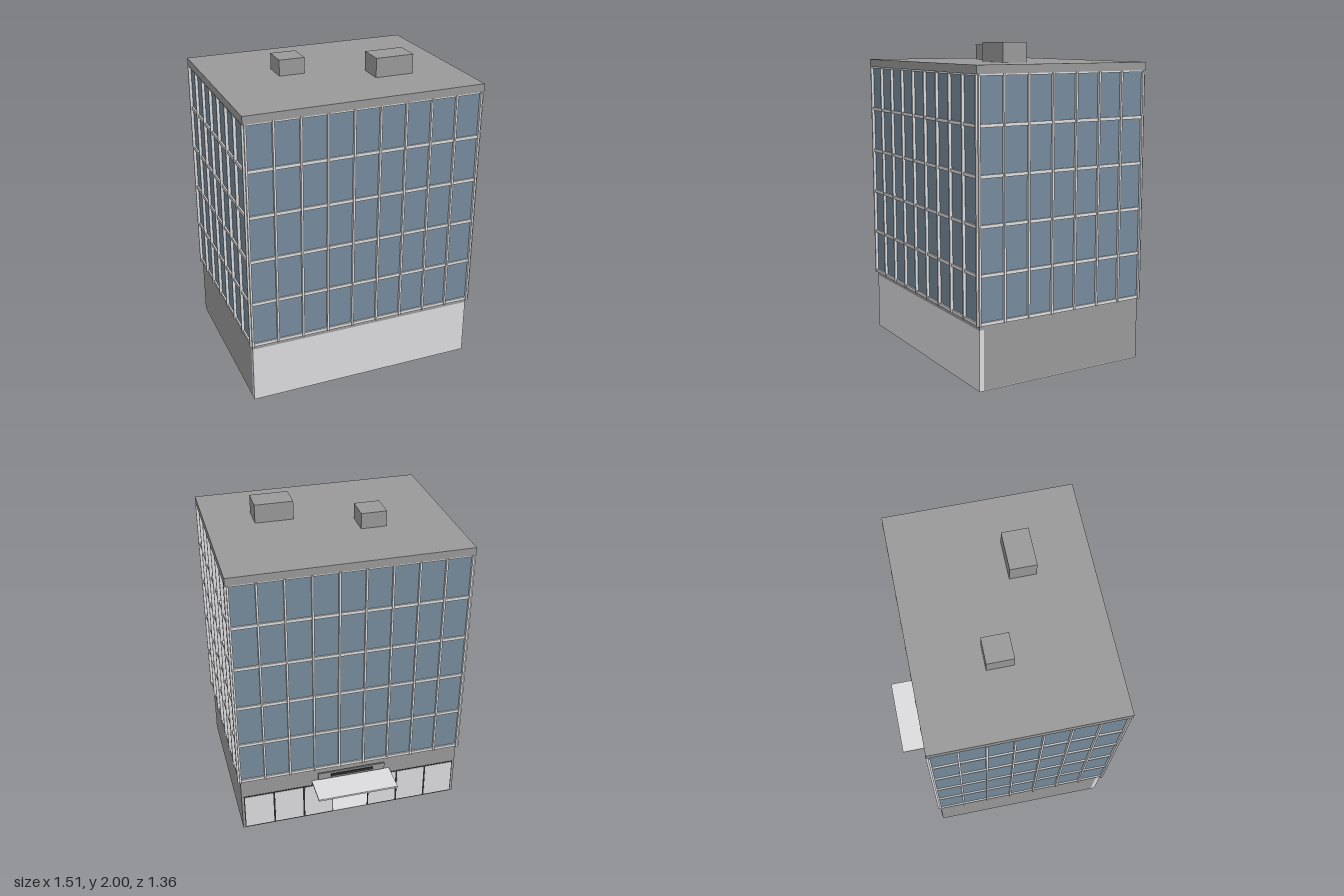
import * as THREE from 'three';

const mat = (name, color) => {
  const m = new THREE.MeshStandardMaterial({ color });
  m.name = name;
  return m;
};

export function createModel() {
  const concrete = mat('concrete grey', 0x99999a);
  const light = mat('light grey', 0xdcdcde);
  const glass = mat('blue glass', 0x768b9c);
  const dark = mat('dark frame', 0x2c2c2e);

  const model = new THREE.Group();
  model.name = 'officeBuilding';
  const group = (name) => {
    const g = new THREE.Group();
    g.name = name;
    model.add(g);
    return g;
  };

  // Box given by its extents on each axis
  const box = (parent, name, material, x0, x1, y0, y1, z0, z1) => {
    const mesh = new THREE.Mesh(new THREE.BoxGeometry(x1 - x0, y1 - y0, z1 - z0), material);
    mesh.position.set((x0 + x1) / 2, (y0 + y1) / 2, (z0 + z1) / 2);
    mesh.name = name;
    parent.add(mesh);
  };

  const W = 0.735, ZB = -0.485, ZF = 0.66, ZC = (ZB + ZF) / 2, D = (ZF - ZB) / 2;
  const Y0 = 0.4, Y1 = 1.83, DOOR = 0.12, SHOP = 0.265, WALL = 0.015, FLOOR = 0.005;

  // Hollow ground floor, open at the entrance
  const base = group('groundFloor');
  box(base, 'floor', light, -W, W, 0, FLOOR, ZB, 0.63);
  box(base, 'frontCladding', light, -W, W, 0, 0.37, 0.63, ZF);
  box(base, 'ceilingBand', concrete, -W, W, 0.37, Y0, ZB, ZF);
  box(base, 'shopfrontLintel', concrete, -W, W, SHOP, 0.37, ZB, ZB + WALL);
  box(base, 'leftWall', concrete, W - WALL, W, FLOOR, 0.37, ZB + WALL, 0.63);
  box(base, 'rightWall', concrete, -W, WALL - W, FLOOR, 0.37, ZB + WALL, 0.63);
  for (const s of [-1, 1]) {
    const x = s * (W - WALL / 2);
    box(base, 'cornerPost', concrete, x - WALL / 2, x + WALL / 2, FLOOR, SHOP, ZB, ZB + WALL);
  }

  // Shopfront: three panes on each side of the entrance
  const shop = group('shopfront');
  const paneStep = (W - WALL - DOOR) / 3;
  for (const s of [-1, 1]) {
    for (let i = 0; i < 3; i++) {
      const c = s * (DOOR + (i + 0.5) * paneStep), h = paneStep / 2;
      box(shop, 'paneFrame', dark, c - h, c + h, FLOOR, SHOP, ZB - 0.002, ZB + 0.006);
      box(shop, 'pane', light, c - h + 0.006, c + h - 0.006, 0.012, SHOP - 0.007, ZB - 0.004, ZB + 0.008);
    }
  }

  // Entrance canopy and blank sign board
  const entrance = group('entrance');
  box(entrance, 'canopy', light, -0.265, 0.265, 0.29, 0.302, -0.68, ZB);
  box(entrance, 'signBoard', concrete, -0.225, 0.225, 0.322, 0.37, -0.51, -0.5);
  box(entrance, 'signPlate', dark, -0.145, 0.14, 0.335, 0.357, -0.514, -0.51);

  // Glazed tower and its grid of mullions
  const tower = group('tower');
  box(tower, 'glazing', glass, -W, W, Y0, Y1, ZB, ZF);

  const facade = (name, half, dist, bays, angle) => {
    const f = new THREE.Group();
    f.name = name;
    f.position.z = ZC;
    f.rotation.y = angle;
    for (let i = 0; i <= bays; i++) {
      const x = -half + (2 * half * i) / bays;
      box(f, 'mullion', light, x - 0.006, x + 0.006, Y0 - 0.005, Y1, dist, dist + 0.018);
    }
    for (let i = 0; i <= 5; i++) {
      const y = Y0 + 0.005 + i * 0.285;
      box(f, 'transom', light, -half, half, y - 0.01, y + 0.01, dist - 0.002, dist + 0.01);
    }
    tower.add(f);
  };
  facade('frontFacade', W, D, 9, 0);
  facade('backFacade', W, D, 9, Math.PI);
  facade('leftFacade', D, W, 7, Math.PI / 2);
  facade('rightFacade', D, W, 7, -Math.PI / 2);

  // Roof slab and plant housings
  const roof = group('roof');
  box(roof, 'roofSlab', concrete, -0.75, 0.75, Y1, 1.88, -0.5, 0.675);
  box(roof, 'smallPlantHousing', concrete, -0.328, -0.165, 1.88, 1.98, -0.078, 0.086);
  box(roof, 'largePlantHousing', concrete, 0.202, 0.447, 1.88, 2.0, 0.167, 0.331);

  return model;
}
